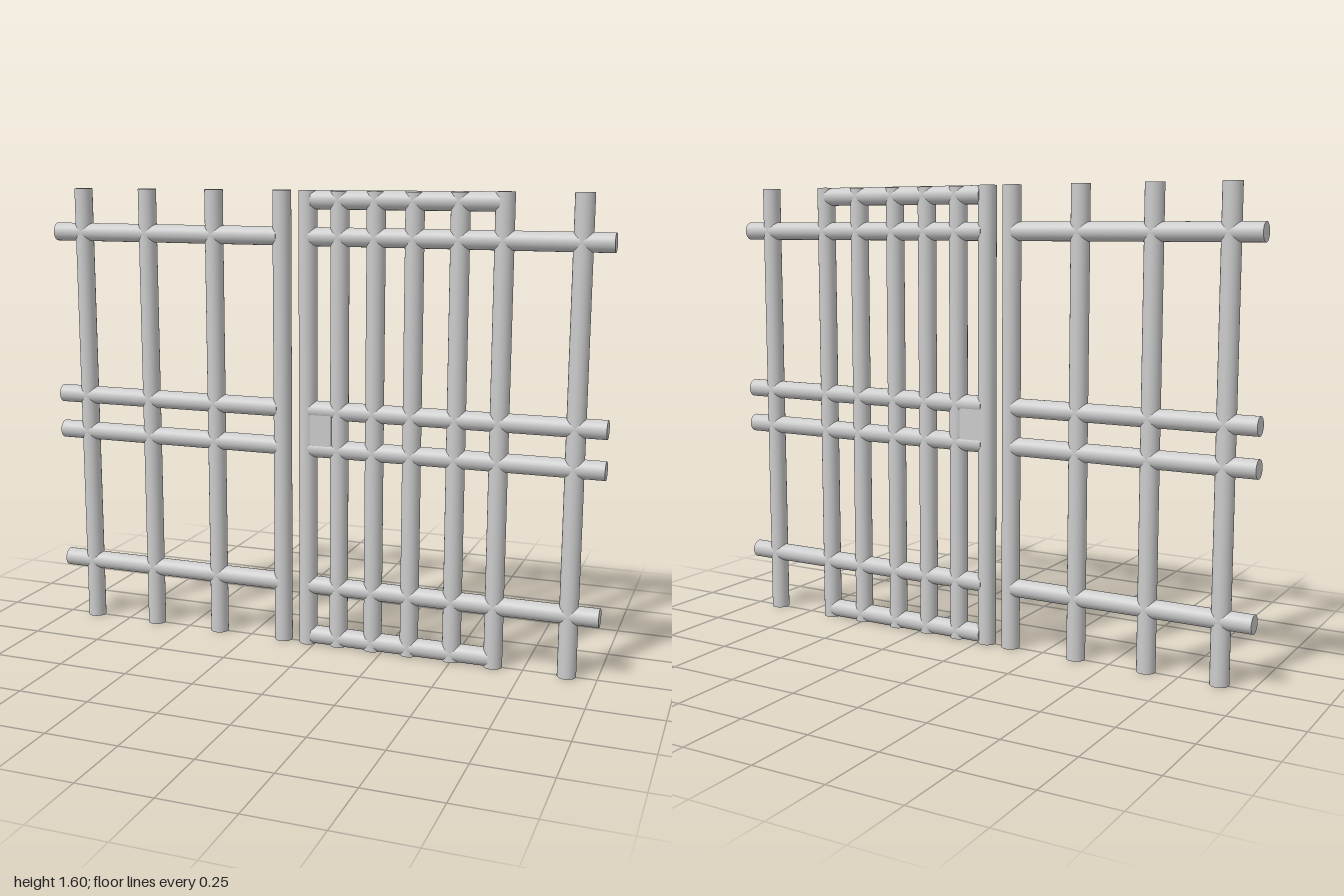
import * as THREE from 'three';

const R = 0.032;
const HEIGHT = 1.6;

export function createModel() {
  const group = new THREE.Group();
  const material = new THREE.MeshStandardMaterial({ color: 0xcccccc });

  const add = (name, geometry, x, y) => {
    const mesh = new THREE.Mesh(geometry, material);
    mesh.name = name;
    mesh.position.set(x, y, 0);
    group.add(mesh);
  };
  // Upright round bar standing on the ground
  const upright = (name, x, y0 = 0, y1 = HEIGHT) =>
    add(name, new THREE.CylinderGeometry(R, R, y1 - y0, 32), x, (y0 + y1) / 2);
  // Horizontal round bar between two x positions
  const rail = (name, x0, x1, y) =>
    add(name, new THREE.CylinderGeometry(R, R, x1 - x0, 32).rotateZ(Math.PI / 2), (x0 + x1) / 2, y);

  // Fence posts either side, and the gate's two end posts
  for (const x of [-0.89, -0.635, -0.377, -0.123, 0.898]) upright('fencePost', x);
  for (const x of [-0.028, 0.646]) upright('gatePost', x);

  // Closely spaced bars inside the gate
  for (const x of [0.087, 0.214, 0.347, 0.5]) upright('gateBar', x, 0.003, HEIGHT - 0.003);

  // Long rails, split by the gap beside the gate
  for (const y of [0.217, 0.715, 0.85, 1.445]) {
    rail('fenceRail', -1, -0.135, y);
    rail('gateRail', -0.018, 1, y);
  }

  // Top and bottom rails of the gate frame
  for (const y of [R, HEIGHT - R]) rail('gateFrameRail', -0.01, 0.635, y);

  // Lock box between the middle rails
  add('lockBox', new THREE.BoxGeometry(0.08, 0.115, 0.058), 0.027, 0.782);

  return group;
}
